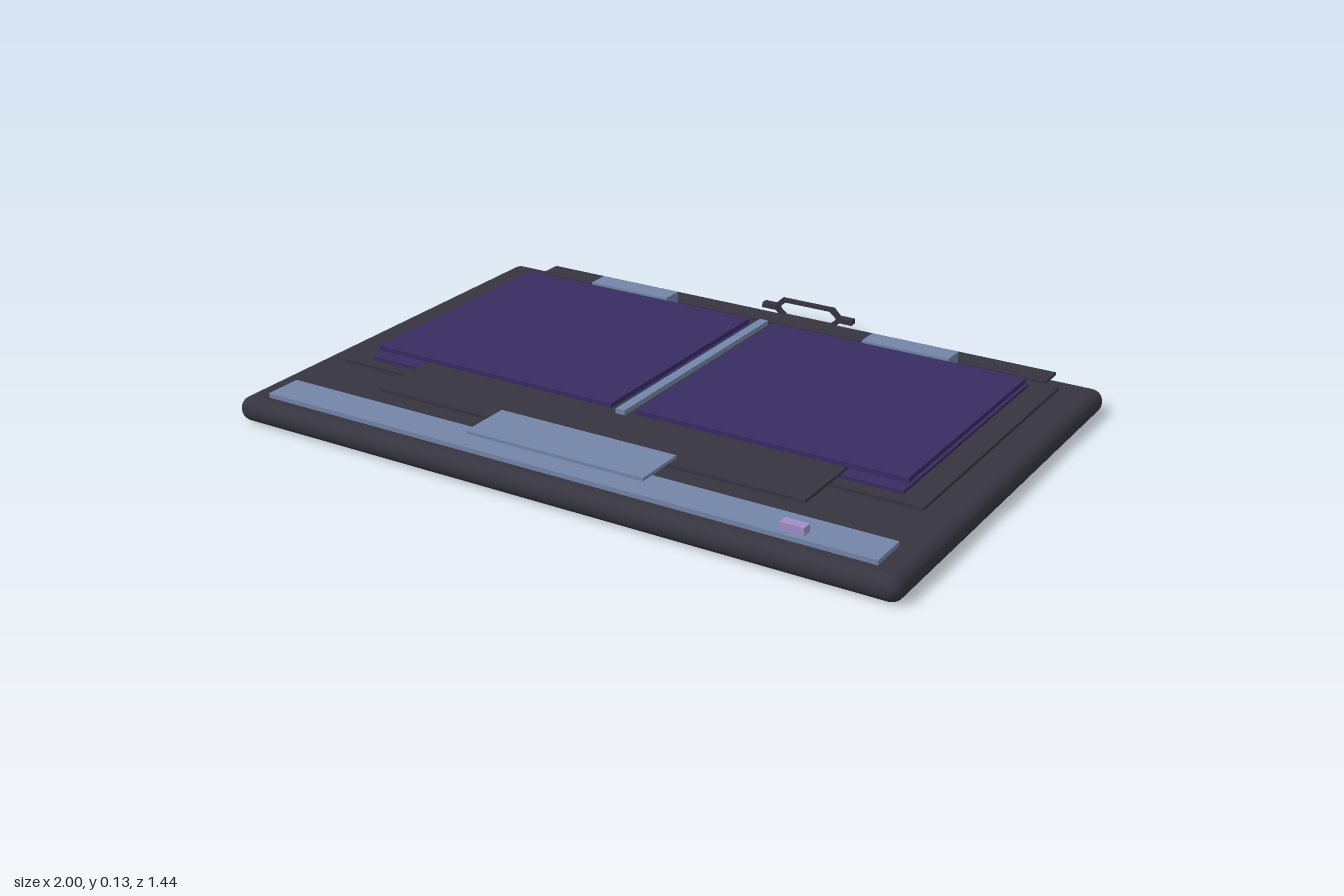
import * as THREE from 'three';
import { RoundedBoxGeometry } from 'three/addons/geometries/RoundedBoxGeometry.js';

export function createModel() {
  const model = new THREE.Group();
  const material = (name, color) => {
    const m = new THREE.MeshStandardMaterial({ color });
    m.name = name;
    return m;
  };
  const charcoal = material('charcoal', 0x363540);
  const violet = material('deep violet', 0x372c62);
  const steel = material('steel blue', 0x7485a8);
  const lilac = material('lilac', 0xa08cc8);

  const add = (name, geometry, mat, parent = model) => {
    const mesh = new THREE.Mesh(geometry, mat);
    mesh.name = name;
    parent.add(mesh);
    return mesh;
  };
  // Box given by its extents on each axis
  const box = (name, mat, [x0, x1], [y0, y1], [z0, z1], parent) =>
    add(name, new THREE.BoxGeometry(x1 - x0, y1 - y0, z1 - z0), mat, parent)
      .position.set((x0 + x1) / 2, (y0 + y1) / 2, (z0 + z1) / 2);

  // Rounded slab
  add('baseSlab', new RoundedBoxGeometry(2, 0.07, 1.305, 5, 0.034), charcoal)
    .position.set(0, 0.035, 0.067);

  // Thin plates stacked over the slab
  box('trayPlate', charcoal, [-0.9, 0.9], [0.079, 0.088], [-0.485, 0.382]);
  box('rearPlate', charcoal, [-0.85, 0.85], [0.075, 0.084], [-0.587, -0.511]);
  box('frontPlate', charcoal, [-0.655, 0.655], [0.096, 0.105], [0.22, 0.526]);

  // Front rail, its tab and button
  box('frontRail', steel, [-0.922, 0.922], [0.068, 0.083], [0.56, 0.67]);
  box('frontTab', steel, [-0.27, 0.27], [0.106, 0.115], [0.488, 0.643]);
  box('button', lilac, [0.655, 0.722], [0.083, 0.104], [0.625, 0.654]);

  // Paired panels in two layers, with a hinge block behind each
  for (const side of [-1, 1]) {
    const span = (a, b) => (side > 0 ? [a, b] : [-b, -a]);
    box('lowerPanel', violet, span(0.04, 0.827), [0.086, 0.097], [-0.443, 0.342]);
    box('upperPanel', violet, span(0.04, 0.827), [0.107, 0.121], [-0.42, 0.315]);
    box('hingeBlock', steel, span(0.328, 0.597), [0.087, 0.128], [-0.485, -0.419]);
  }
  box('centreSpine', steel, [-0.014, 0.014], [0.106, 0.12], [-0.435, 0.333]);

  // Separate loop handle behind the slab
  const handle = new THREE.Group();
  handle.name = 'rearHandle';
  handle.position.set(0, 0.052, -0.711);
  model.add(handle);
  const outline = (w, shoulder, h) =>
    [[-w, 0], [-shoulder, -h], [shoulder, -h], [w, 0], [shoulder, h], [-shoulder, h]]
      .map(([x, y]) => new THREE.Vector2(x, y));
  const loop = new THREE.Shape(outline(0.12, 0.088, 0.032));
  loop.holes.push(new THREE.Path(outline(0.1, 0.076, 0.02).reverse()));
  const loopGeometry = new THREE.ExtrudeGeometry(loop, { depth: 0.012, bevelEnabled: false });
  loopGeometry.translate(0, 0, -0.006);
  add('handleLoop', loopGeometry, charcoal, handle);
  for (const s of [-1, 1]) {
    box('handleEnd', charcoal, s > 0 ? [0.1, 0.154] : [-0.154, -0.1],
      [-0.008, 0.008], [-0.012, 0.012], handle);
  }
  return model;
}
